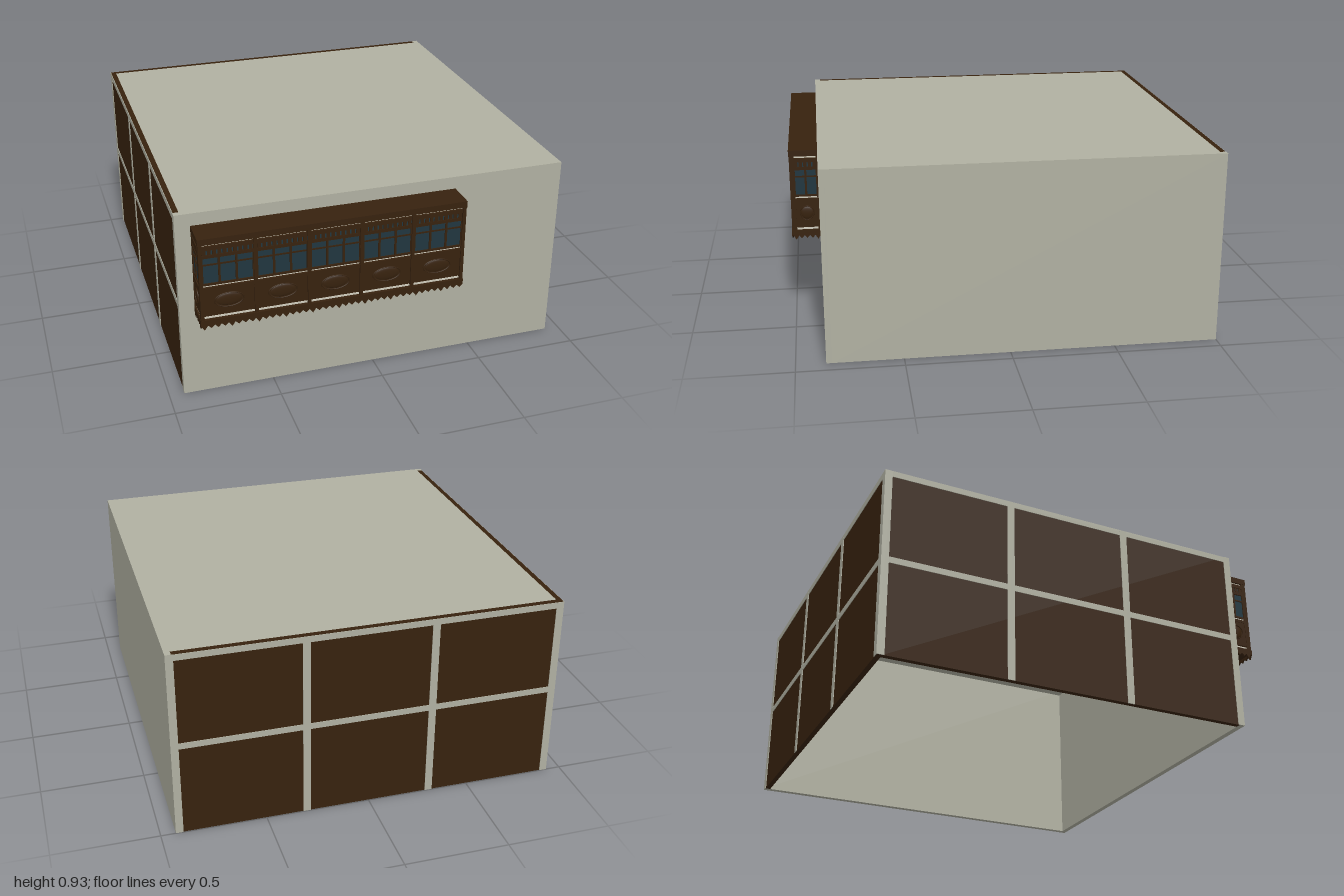
import * as THREE from 'three';

const mat = (name, color, extra = {}) => {
  const m = new THREE.MeshStandardMaterial({ color, ...extra });
  m.name = name;
  return m;
};

export function createModel() {
  const stone = mat('stone', 0xb0b0a1);
  const wood = mat('darkWood', 0x37220e);
  const glass = mat('glass', 0x20363f);
  const trim = mat('paleTrim', 0xcfccbd);
  const model = new THREE.Group();
  model.name = 'roomWithBayWindow';

  // Box given by its lower and upper limits
  const box = (parent, name, material, x0, x1, y0, y1, z0, z1) => {
    const mesh = new THREE.Mesh(new THREE.BoxGeometry(x1 - x0, y1 - y0, z1 - z0), material);
    mesh.position.set((x0 + x1) / 2, (y0 + y1) / 2, (z0 + z1) / 2);
    mesh.name = name;
    parent.add(mesh);
    return mesh;
  };

  // Room shell, open underneath
  const W = 0.93, H = 0.93, B = -1, F = 0.86, T = 0.028;
  const shell = new THREE.Group();
  shell.name = 'shell';
  model.add(shell);
  box(shell, 'roof', stone, -W + T, W - T, H - T, H, B + T, F - T);
  box(shell, 'frontWall', stone, -W, W, 0, H, F - T, F);
  box(shell, 'plainSideWall', stone, W - T, W, 0, H, B, F - T);
  box(shell, 'panelledBackWall', wood, -W + 0.003, W - T, 0, H, B + 0.003, B + T);
  box(shell, 'panelledSideWall', wood, -W + 0.003, -W + T, 0, H, B + T, F - T);

  // Stone battens dividing each timber wall into three by two panels
  const battens = (name, length) => {
    const g = new THREE.Group();
    g.name = name;
    const h = length / 2, b = 0.036;
    for (let i = 0; i < 4; i++) {
      const c = -h + b / 2 + (i / 3) * (length - b);
      box(g, 'uprightBatten', stone, c - b / 2, c + b / 2, 0, H - 0.002, -0.005, 0);
    }
    for (const y of [0.45, H - 0.032])
      box(g, 'crossBatten', stone, -h, h, y, y + 0.03, -0.005, -0.0002);
    shell.add(g);
    return g;
  };
  const backBattens = battens('backBattens', 2 * W);
  backBattens.rotation.y = Math.PI;
  backBattens.position.z = B;
  backBattens.children.forEach((m) => { m.position.z = -0.0025; });
  const sideBattens = battens('sideBattens', F - B);
  sideBattens.rotation.y = -Math.PI / 2;
  sideBattens.position.set(-W, 0, (F + B) / 2);

  // Bay window body
  const bay = new THREE.Group();
  bay.name = 'bayWindow';
  model.add(bay);
  const X0 = -0.85, X1 = 0.38, ZF = 0.984;
  box(bay, 'bayBody', wood, X0, X1, 0.448, 0.85, F, ZF);
  box(bay, 'bayRoof', wood, X0 - 0.01, X1 + 0.01, 0.84, 0.87, F, 1);
  box(bay, 'windowSill', wood, X0 - 0.008, X1 + 0.008, 0.612, 0.627, F, 0.996);
  box(bay, 'windowRail', wood, X0 - 0.006, X1 + 0.006, 0.636, 0.646, F, 0.993);
  box(bay, 'baseRail', wood, X0 - 0.01, X1 + 0.01, 0.444, 0.465, F, 1);

  // Hanging zigzag fringe of a given length
  const fringe = (length, teeth) => {
    const s = new THREE.Shape();
    const p = length / teeth;
    s.moveTo(-length / 2, 0.446);
    for (let i = 0; i < teeth; i++) {
      const x = -length / 2 + i * p;
      const low = i % 4 === 0 ? 0.416 : 0.423;
      s.lineTo(x, 0.438);
      s.lineTo(x + p / 2, low);
    }
    s.lineTo(length / 2, 0.438);
    s.lineTo(length / 2, 0.446);
    const m = new THREE.Mesh(new THREE.ExtrudeGeometry(s, { depth: 0.008, bevelEnabled: false }), wood);
    m.name = 'zigzagFringe';
    return m;
  };

  // One bay of glazing over an oval-moulded panel, facing local +z
  const panel = (w, panes, rx) => {
    const g = new THREE.Group();
    g.name = 'bayPanel';
    const h = w / 2;
    for (const [y, t] of [[0.467, 0.009], [0.628, 0.007], [0.831, 0.008]])
      box(g, 'paleStrip', trim, -h, h, y, y + t, 0, 0.003);
    box(g, 'lowerPanel', wood, -h, h, 0.48, 0.612, 0, 0.006);
    box(g, 'windowGlass', glass, -h, h, 0.646, 0.812, 0, 0.003);
    box(g, 'headRail', wood, -h, h, 0.81, 0.83, 0, 0.01);
    box(g, 'friezeRail', wood, -h, h, 0.771, 0.786, 0, 0.009);
    box(g, 'transom', wood, -h, h, 0.734, 0.741, 0, 0.007);
    // Mullions
    for (let i = 0; i <= panes; i++) {
      const x = -h + (i / panes) * w;
      box(g, 'mullion', wood, x - 0.005, x + 0.005, 0.646, 0.775, 0, 0.008);
    }
    // Frieze spindles
    const n = Math.round(w / 0.024);
    for (let i = 0; i < n; i++) {
      const x = -h + ((i + 0.5) / n) * w;
      box(g, 'friezeSpindle', wood, x - 0.008, x + 0.008, 0.78, 0.812, 0, 0.007);
    }
    // Oval moulding with a raised centre
    const ring = new THREE.Mesh(new THREE.TorusGeometry(1, 0.05, 6, 32), wood);
    ring.scale.set(rx, 0.035, 0.08);
    ring.position.set(0, 0.553, 0.007);
    ring.name = 'ovalMoulding';
    const boss = new THREE.Mesh(new THREE.SphereGeometry(1, 24, 12), wood);
    boss.scale.set(rx * 0.9, 0.031, 0.006);
    boss.position.set(0, 0.553, 0.005);
    boss.name = 'ovalBoss';
    g.add(ring, boss);
    bay.add(g);
    return g;
  };

  // Five front panels with posts between them
  const step = (X1 - X0) / 5;
  for (let i = 0; i < 5; i++)
    panel(step - 0.014, 3, 0.066).position.set(X0 + (i + 0.5) * step, 0, ZF);
  for (let i = 0; i <= 5; i++) {
    const x = X0 + i * step;
    box(bay, 'frontPost', wood, x - 0.008, x + 0.008, 0.465, 0.84, ZF - 0.01, 0.998);
  }
  const frontFringe = fringe(X1 - X0 + 0.02, 40);
  frontFringe.position.set((X0 + X1) / 2, 0, 0.992);
  bay.add(frontFringe);

  // Matching end panels, posts and fringes
  for (const [x, s] of [[X0, -1], [X1, 1]]) {
    const end = panel(ZF - F - 0.014, 2, 0.034);
    end.rotation.y = s * Math.PI / 2;
    end.position.set(x, 0, (ZF + F) / 2);
    box(bay, 'wallPost', wood, x - 0.009, x + 0.009, 0.465, 0.84, F, F + 0.01);
    const f = fringe(0.132, 5);
    f.rotation.y = s * Math.PI / 2;
    f.position.set(x + s * 0.002, 0, 0.926);
    bay.add(f);
  }
  return model;
}
